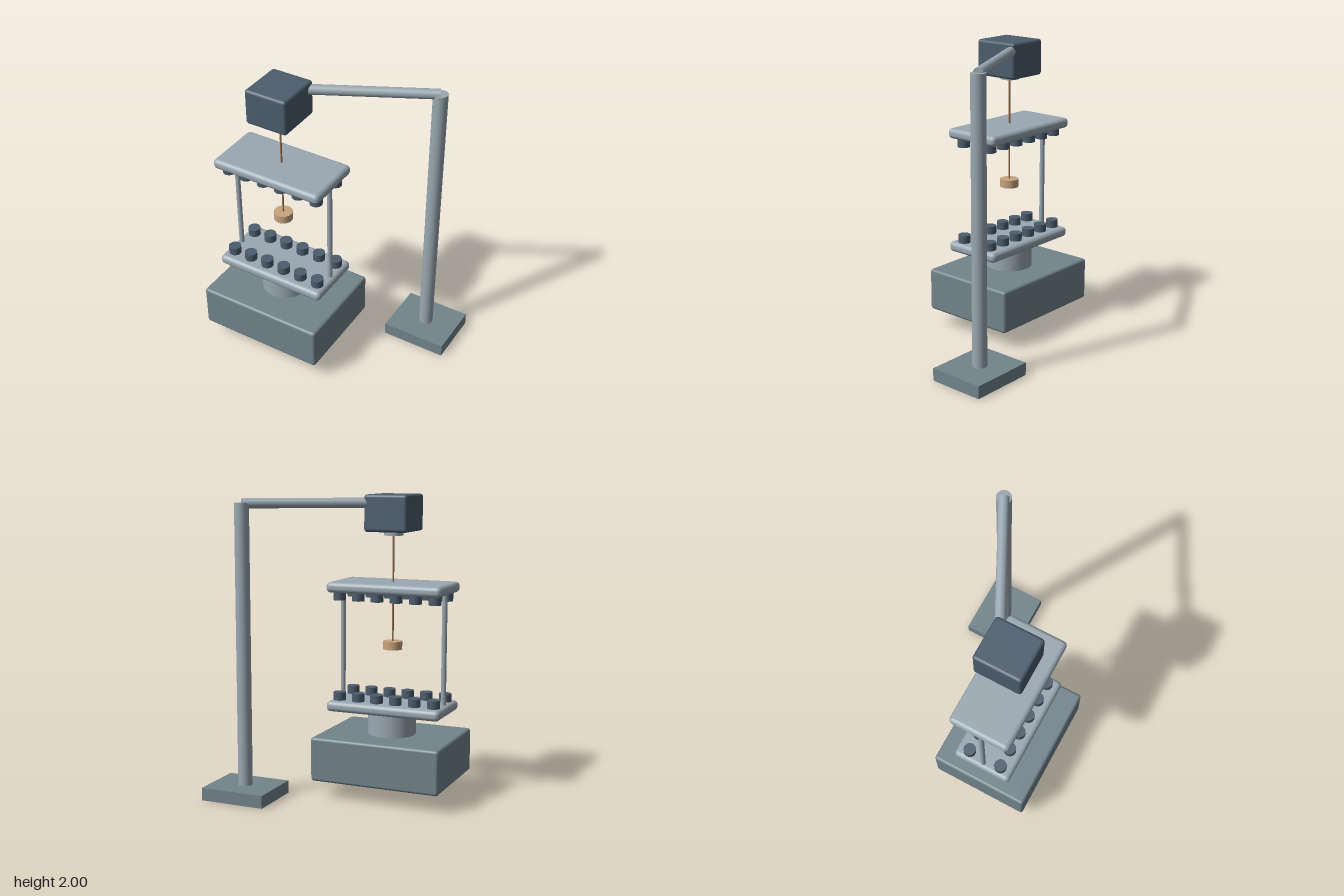
import * as THREE from 'three';
import { RoundedBoxGeometry } from 'three/addons/geometries/RoundedBoxGeometry.js';

const mat = (name, color) => new THREE.MeshStandardMaterial({ name, color });

export function createModel() {
  const model = new THREE.Group();
  model.name = 'pendulumRig';
  const slate = mat('slateGrey', 0x72848c);
  const steel = mat('lightSteel', 0x9aa8b2);
  const navy = mat('darkBlueGrey', 0x4c5d6e);
  const tan = mat('tan', 0xc9a47e);
  const brown = mat('cordBrown', 0x94704e);

  // Shared axis of the magnet frame, motor and bob
  const cx = -0.315, cz = 0.17;

  const add = (name, geometry, material, x, y, z, parent = model) => {
    const mesh = new THREE.Mesh(geometry, material);
    mesh.name = name;
    mesh.position.set(x, y, z);
    parent.add(mesh);
    return mesh;
  };
  const roundBox = (name, w, y0, y1, d, r, material) =>
    add(name, new RoundedBoxGeometry(w, y1 - y0, d, 4, r), material, cx, (y0 + y1) / 2, cz);
  const rod = (name, r, y0, y1, material, x = cx, z = cz, parent = model, sides = 32) =>
    add(name, new THREE.CylinderGeometry(r, r, y1 - y0, sides), material, x, (y0 + y1) / 2, z, parent);

  // Base block and pedestal
  roundBox('baseBlock', 0.889, 0.117, 0.413, 0.69, 0.02, slate);
  rod('pedestal', 0.16, 0.4, 0.58, steel);

  // Two plates joined by side rods
  roundBox('lowerPlate', 0.794, 0.564, 0.634, 0.414, 0.03, steel);
  roundBox('upperPlate', 0.794, 1.36, 1.43, 0.414, 0.03, steel);
  for (const s of [-1, 1]) {
    rod(s < 0 ? 'rightFrameRod' : 'leftFrameRod', 0.017, 0.62, 1.38, steel, cx + s * 0.358, cz, model, 20);
  }

  // Facing rows of studs on both plates
  for (const [name, y0, y1] of [['lowerStuds', 0.62, 0.688], ['upperStuds', 1.306, 1.37]]) {
    const studs = new THREE.Group();
    studs.name = name;
    model.add(studs);
    for (let i = 0; i < 6; i++) {
      for (const s of [-1, 1]) {
        rod('stud', 0.042, y0, y1, navy, cx + (i - 2.5) * 0.1325, cz + s * 0.117, studs, 24);
      }
    }
  }

  // Motor head with hanging cord and bob
  roundBox('motorHead', 0.296, 1.76, 2, 0.318, 0.02, navy);
  rod('motorCollar', 0.063, 1.733, 1.78, steel);
  rod('cord', 0.006, 1.02, 1.74, brown, cx, cz, model, 12);
  rod('bob', 0.063, 0.982, 1.037, tan);

  // Stand: foot, post and slanting arm
  const px = 0.537, pz = -0.323;
  add('standFoot', new THREE.BoxGeometry(0.446, 0.085, 0.384), slate, px, 0.0425, pz);
  rod('standPost', 0.048, 0.08, 1.947, steel, px, pz);
  const from = new THREE.Vector3(-0.25, 1.945, 0.078);
  const to = new THREE.Vector3(px, 1.945, pz);
  const dir = to.clone().sub(from);
  const mid = from.clone().add(to).multiplyScalar(0.5);
  const arm = add('standArm', new THREE.CylinderGeometry(0.033, 0.033, dir.length(), 24), steel, mid.x, mid.y, mid.z);
  arm.quaternion.setFromUnitVectors(new THREE.Vector3(0, 1, 0), dir.normalize());

  return model;
}
